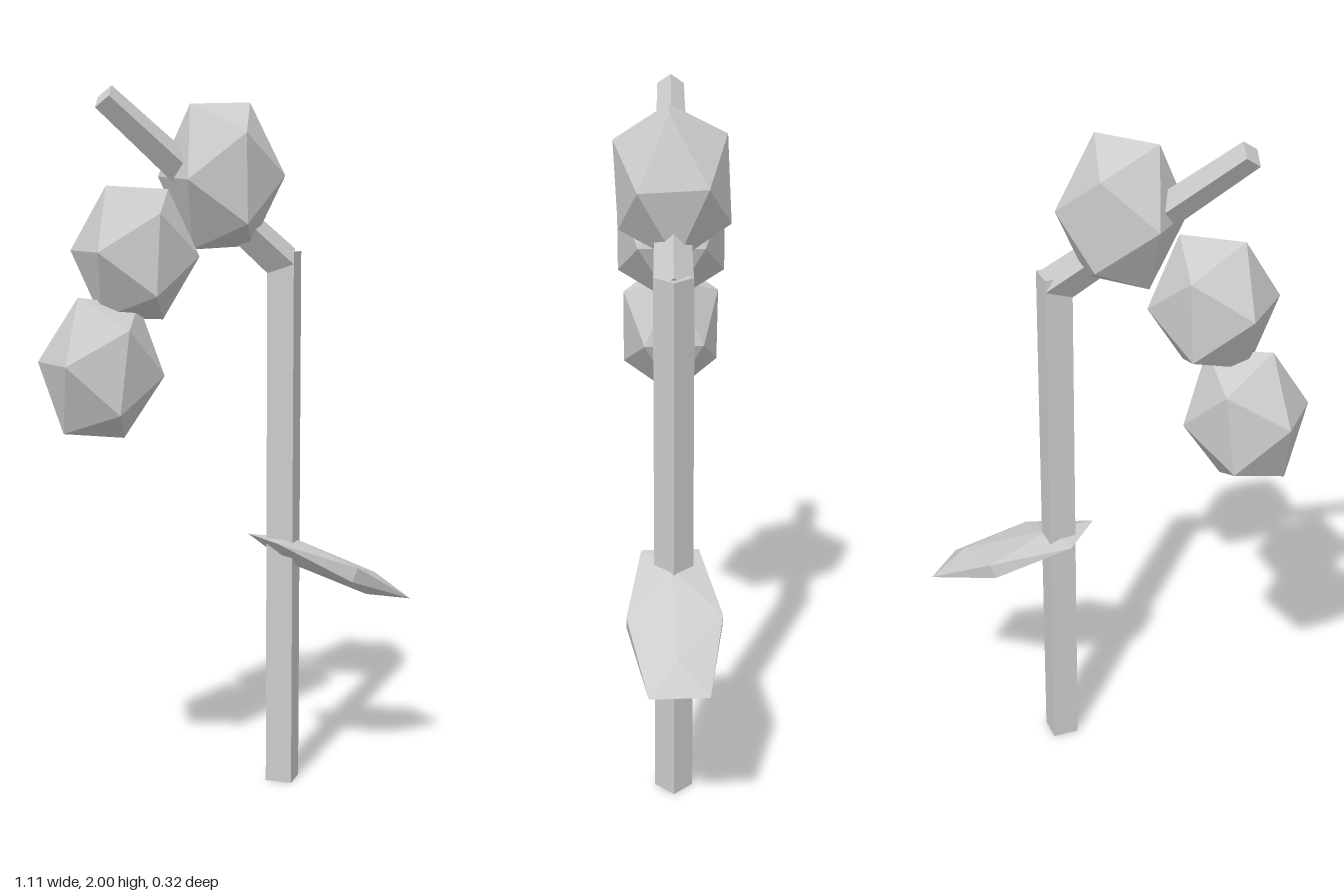
import * as THREE from 'three';

export function createModel() {
  const group = new THREE.Group();
  const grey = new THREE.MeshStandardMaterial({ color: 0xcccccc, flatShading: true });
  grey.name = 'plain grey';

  function add(name, geometry, position, rotation = [0, 0, 0], scale = [1, 1, 1]) {
    const mesh = new THREE.Mesh(geometry, grey);
    mesh.name = name;
    mesh.position.set(...position);
    mesh.rotation.set(...rotation);
    mesh.scale.set(...scale);
    group.add(mesh);
    return mesh;
  }

  // Upright four-sided stem
  add('stem', new THREE.CylinderGeometry(0.055, 0.055, 1.555, 4), [0.16, 0.7775, 0]);

  // Tapering branch leaning away from the stem top
  const base = new THREE.Vector3(0.16, 1.52, 0);
  const tip = new THREE.Vector3(-0.39, 1.972, 0);
  const along = tip.clone().sub(base);
  const middle = base.clone().add(tip).multiplyScalar(0.5);
  add('branch', new THREE.CylinderGeometry(0.038, 0.055, along.length(), 4),
    middle.toArray(), [0, 0, Math.atan2(-along.x, along.y)]);

  // Hanging chain of faceted bells: position, rotation, scale
  const facets = new THREE.IcosahedronGeometry(1, 0);
  const bells = [
    [[-0.04, 1.765, 0], [0.05, 0, 0.04], [0.175, 0.232, 0.182]],
    [[-0.303, 1.557, 0], [0, 0, -0.05], [0.175, 0.208, 0.182]],
    [[-0.405, 1.248, 0], [0, 0.06, -0.13], [0.175, 0.216, 0.166]],
  ];
  bells.forEach(([p, r, s], i) => add('bell' + (i + 1), facets, p, r, s));

  // Flattened drooping leaf
  add('leaf', facets, [0.32, 0.625, 0], [0, 0.04, -0.435], [0.302, 0.042, 0.156]);

  return group;
}
